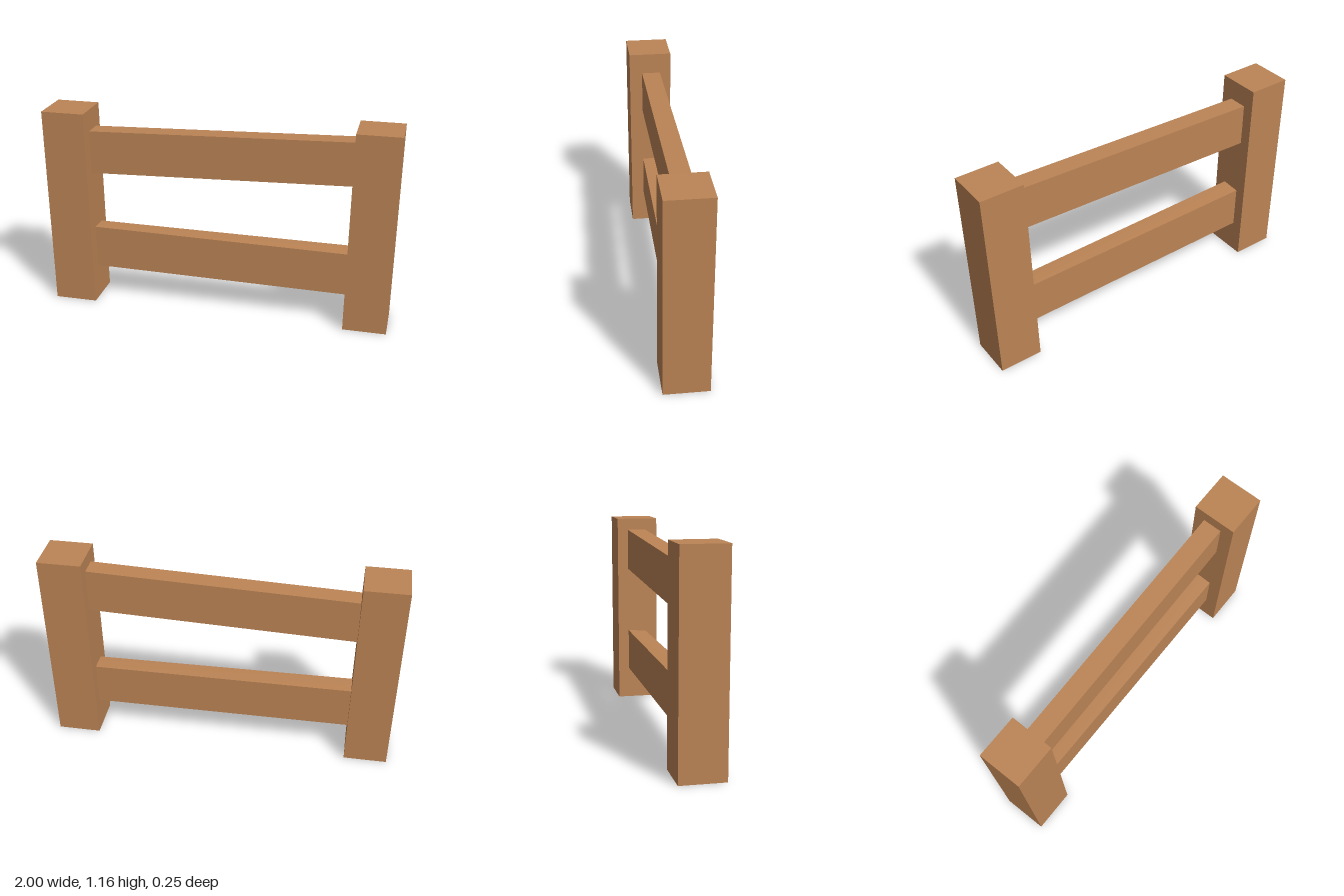
import * as THREE from 'three';

// Box whose vertices are moved by a rule, with some faces left open
// (faces: 0 +x, 1 -x, 2 +y, 3 -y, 4 +z, 5 -z)
function openBox(size, openFaces, rule) {
  const geo = new THREE.BoxGeometry(...size);
  const index = Array.from(geo.index.array);
  geo.setIndex(index.filter((_, i) => !openFaces.includes(Math.floor(i / 6))));
  geo.clearGroups();
  const pos = geo.attributes.position;
  const v = new THREE.Vector3();
  for (let i = 0; i < pos.count; i++) {
    rule(v.fromBufferAttribute(pos, i));
    pos.setXYZ(i, v.x, v.y, v.z);
  }
  geo.computeVertexNormals();
  return geo;
}

export function createModel() {
  const group = new THREE.Group();
  const wood = new THREE.MeshStandardMaterial({ color: 0xbc8455, side: THREE.DoubleSide });
  const add = (name, geo) => {
    const mesh = new THREE.Mesh(geo, wood);
    mesh.name = name;
    group.add(mesh);
  };

  // Posts: lean slightly outward, open underneath
  const height = 1.16;
  for (const side of [-1, 1]) {
    add(side > 0 ? 'leftPost' : 'rightPost', openBox([0.246, height, 0.25], [3], (v) => {
      v.y += height / 2;
      v.x += side * (0.862 + 0.014 * v.y / height);
    }));
  }

  // Rails: run between the posts, each at its own slope, with a slight twist
  const rails = [
    ['upperRail', 0.915, 0.965, 0],
    ['lowerRail', 0.324, 0.312, 0.006],
  ];
  for (const [name, yStart, yEnd, twist] of rails) {
    add(name, openBox([1.5, 0.25, 0.11], [0, 1], (v) => {
      const t = v.x / 1.5 + 0.5;
      v.y += yStart + (yEnd - yStart) * t + twist * (0.5 - t) * Math.sign(v.z);
      v.z -= 0.005;
    }));
  }

  return group;
}
